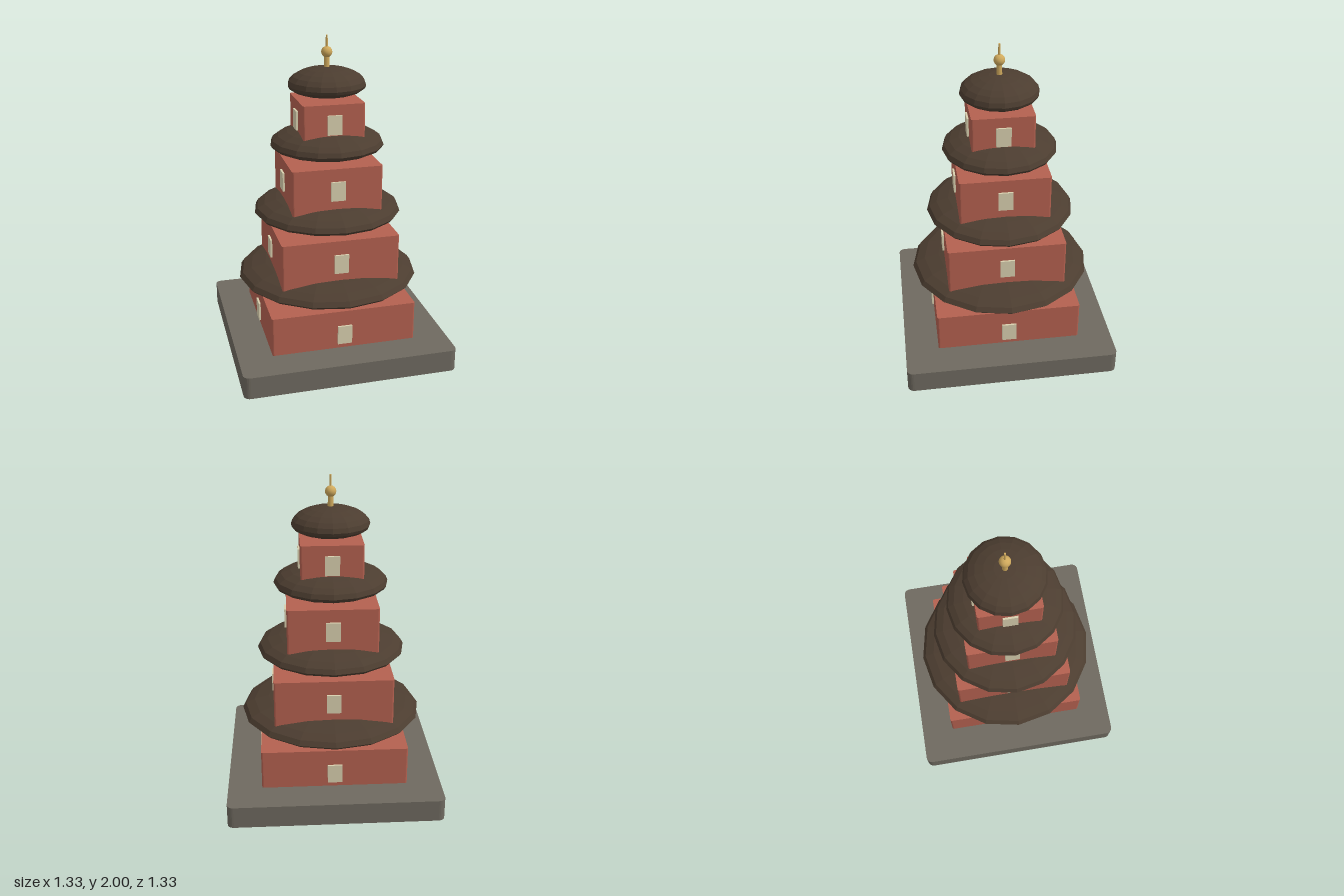
import * as THREE from 'three';

const mat = (color, flatShading = false) => new THREE.MeshStandardMaterial({ color, flatShading });
const stone = mat(0x6e695f), red = mat(0xb3604f), cream = mat(0xd8cfae);
const tile = mat(0x4c3d30, true), gold = mat(0xcfa95c);

function add(parent, name, geometry, material, x = 0, y = 0, z = 0) {
  const mesh = new THREE.Mesh(geometry, material);
  mesh.name = name;
  mesh.position.set(x, y, z);
  parent.add(mesh);
  return mesh;
}

// Upright square block with rounded vertical corners, standing on y = 0
function block(half, height, r) {
  const s = new THREE.Shape(), c = half - r;
  s.absarc(c, c, r, 0, Math.PI / 2);
  s.absarc(-c, c, r, Math.PI / 2, Math.PI);
  s.absarc(-c, -c, r, Math.PI, Math.PI * 1.5);
  s.absarc(c, -c, r, Math.PI * 1.5, Math.PI * 2);
  s.closePath();
  const g = new THREE.ExtrudeGeometry(s, { depth: height, bevelEnabled: false, curveSegments: 3 });
  return g.rotateX(-Math.PI / 2);
}

// Flattened dome: taller above the rim than below it
function roof(radius) {
  const pts = [], n = 12;
  for (let i = 0; i <= n; i++) {
    const a = -Math.PI / 2 + (Math.PI * i) / n;
    const s = Math.sin(a);
    pts.push(new THREE.Vector2(i % n ? radius * Math.cos(a) : 0, s * (s > 0 ? 0.11 : 0.07)));
  }
  return new THREE.LatheGeometry(pts, 16);
}

export function createModel() {
  const model = new THREE.Group();
  model.name = 'pagoda';

  add(model, 'base', block(0.665, 0.14, 0.04), stone);

  // Storeys: body half width, bottom, top, window centre, roof radius, roof rim height
  const storeys = [
    [0.454, 0.14, 0.388, 0.23, 0.575, 0.476],
    [0.368, 0.476, 0.818, 0.669, 0.465, 0.907],
    [0.28, 0.907, 1.248, 1.108, 0.355, 1.337],
    [0.191, 1.337, 1.618, 1.495, 0.241, 1.702],
  ];
  storeys.forEach(([half, bottom, top, windowY, radius, rimY], i) => {
    const storey = new THREE.Group();
    storey.name = `storey${i + 1}`;
    model.add(storey);
    add(storey, 'walls', block(half, top - bottom, 0.012), red, 0, bottom);
    add(storey, 'roof', roof(radius), tile, 0, rimY);
    // One window on each side
    for (let k = 0; k < 4; k++) {
      const a = (k * Math.PI) / 2;
      const pane = add(storey, 'window', new THREE.BoxGeometry(0.09, 0.12, 0.024), cream,
        Math.sin(a) * half, windowY, Math.cos(a) * half);
      pane.rotation.y = a;
    }
  });

  // Finial
  const finial = new THREE.Group();
  finial.name = 'finial';
  model.add(finial);
  add(finial, 'finialPost', new THREE.CylinderGeometry(0.016, 0.018, 0.1, 12), gold, 0, 1.835);
  add(finial, 'finialBall', new THREE.SphereGeometry(0.034, 16, 12), gold, 0, 1.9);
  add(finial, 'finialSpike', new THREE.CylinderGeometry(0.006, 0.007, 0.1, 8), gold, 0, 1.95);

  return model;
}
